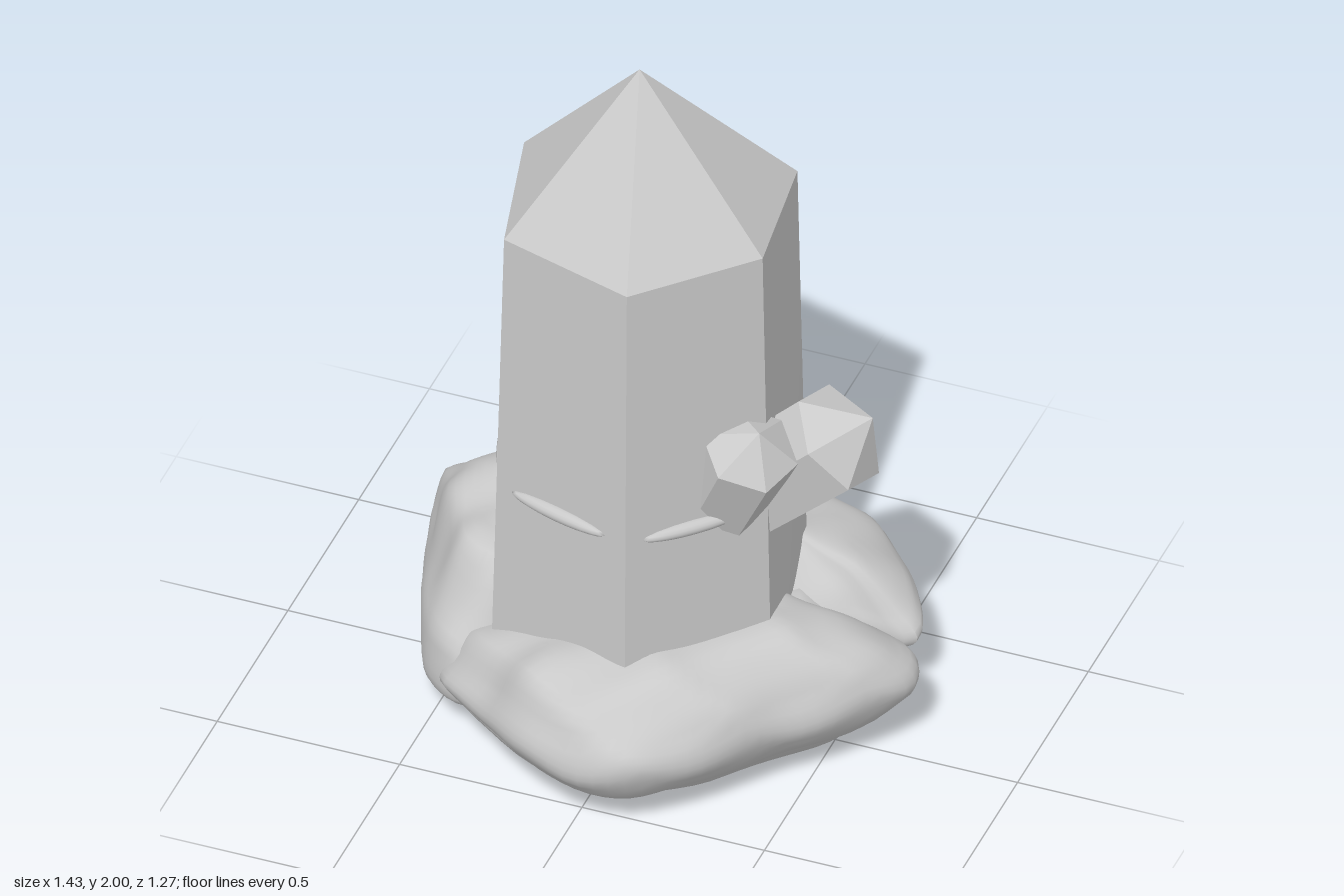
import * as THREE from 'three';
import { toCreasedNormals } from 'three/addons/utils/BufferGeometryUtils.js';

const stone = new THREE.MeshStandardMaterial({ color: 0xc9c9c9 });
stone.name = 'grey stone';

// Skin between rings of equal length, listed bottom to top, each anticlockwise from above
function loft(rings, crease) {
  const n = rings[0].length, pos = [], idx = [];
  rings.forEach(r => r.forEach(p => pos.push(p.x, p.y, p.z)));
  for (let j = 0; j < rings.length - 1; j++) {
    for (let i = 0; i < n; i++) {
      const k = (i + 1) % n, a = j * n + i, b = j * n + k, c = a + n, d = b + n;
      if (!rings[j][i].equals(rings[j][k])) idx.push(a, b, d);
      if (!rings[j + 1][i].equals(rings[j + 1][k])) idx.push(a, d, c);
    }
  }
  const g = new THREE.BufferGeometry();
  g.setAttribute('position', new THREE.Float32BufferAttribute(pos, 3));
  g.setIndex(idx);
  return toCreasedNormals(g, crease);
}

const V = (x, y, z) => new THREE.Vector3(x, y, z);
const point = (p, n) => Array.from({ length: n }, () => p.clone());

function add(parent, name, geometry) {
  const m = new THREE.Mesh(geometry, stone);
  m.name = name;
  parent.add(m);
  return m;
}

// Small hexagonal crystal pointing along an axis; centre is the middle of the shoulder ring
function shard(centre, axis, radius, length, tip, turn) {
  const dir = axis.clone().normalize();
  const side = V(0, 0, 1).cross(dir).normalize();
  const other = side.clone().cross(dir).normalize();
  const ring = (d, r) => Array.from({ length: 6 }, (_, i) => {
    const a = turn + i * Math.PI / 3;
    return centre.clone().addScaledVector(dir, d)
      .addScaledVector(side, r * Math.cos(a)).addScaledVector(other, -r * Math.sin(a));
  });
  return loft([
    point(centre.clone().addScaledVector(dir, -length), 6),
    ring(-length, radius * 0.95), ring(0, radius),
    point(centre.clone().addScaledVector(dir, tip), 6),
  ], 0.1);
}

// Uneven bumps for the rock: broad swells plus chipped ridges
const bump = (p, s) =>
  Math.sin(9 * p.x + 5 * p.z + s) * Math.sin(8 * p.y + 11 * p.z - s) * 0.5 +
  Math.sin(17 * p.x - 13 * p.y + 2 * s) * Math.sin(19 * p.z + 9 * p.x + s) * 0.3 +
  0.6 - 1.2 * Math.hypot(Math.sin(6 * p.x - 7 * p.z + 9 * p.y + s), 0.15);

// Boulder from a plan outline of [x, z], a centre and a profile of [scale, y];
// it gets lower towards the drop direction
function boulder(outline, [cx, cz], profile, seed, [dropX, dropZ] = [0, 0]) {
  const n = 72;
  const pts = new THREE.CatmullRomCurve3(outline.map(([x, z]) => V(x, 0, z)), true, 'centripetal')
    .getSpacedPoints(n).slice(0, n);
  const area = pts.reduce((s, p, i) => {
    const q = pts[(i + 1) % n];
    return s + p.x * q.z - q.x * p.z;
  }, 0);
  if (area > 0) pts.reverse();
  const rings = new THREE.CatmullRomCurve3(profile.map(([s, y]) => V(s, y, 0)), false, 'centripetal')
    .getPoints(24).map(({ x: s, y }) => pts.map(p => {
      const dx = (p.x - cx) * s, dz = (p.z - cz) * s;
      const b = bump(V(cx + dx, y, cz + dz), seed), k = 1 + b * (s < 0.95 ? 0.035 : 0.015);
      const h = y * (1 - Math.max(0, dropX * dx + dropZ * dz - 0.2));
      return V(cx + dx * k, Math.max(0, h + 0.025 * b * Math.min(1, y / 0.15)), cz + dz * k);
    }));
  const bottom = profile[0][1], top = profile[profile.length - 1][1];
  return loft([point(V(cx, bottom, cz), n), ...rings, point(V(cx, top, cz), n)], 0.8);
}

export function createModel() {
  const model = new THREE.Group();
  model.name = 'crystalOnRock';

  // Main crystal: tapering six-sided column with a pointed cap
  const low = [[-0.1, -0.427], [-0.442, -0.148], [-0.335, 0.284], [0.081, 0.41], [0.37, 0.112], [0.309, -0.305]];
  const high = [[-0.1, -0.39], [-0.405, -0.135], [-0.305, 0.265], [0.075, 0.377], [0.34, 0.1], [0.29, -0.275]];
  const ringAt = (r, y) => r.map(([x, z]) => V(x, y, z));
  add(model, 'mainCrystal', loft([
    point(V(-0.04, 0.15, -0.01), 6), ringAt(low, 0.15), ringAt(high, 1.575),
    point(V(-0.04, 2, -0.01), 6),
  ], 0.1));

  // Thin raised growth lines, one on each face of the column
  const lines = new THREE.Group();
  lines.name = 'growthLines';
  model.add(lines);
  const t = (0.79 - 0.15) / (1.575 - 0.15);
  const mid = low.map(([x, z], i) => V(x, 0.79, z).lerp(V(high[i][0], 0.79, high[i][1]), t));
  mid.forEach((a, i) => {
    const b = mid[(i + 1) % 6];
    const m = add(lines, 'growthLine', new THREE.SphereGeometry(1, 20, 8));
    m.scale.set(a.distanceTo(b) * 0.36, 0.02, 0.022);
    m.position.copy(a).lerp(b, 0.48);
    m.rotation.y = Math.atan2(-(b.z - a.z), b.x - a.x);
  });

  // Two side crystals growing out of the column
  add(model, 'largeSideCrystal', shard(V(0.5, 0.955, -0.025), V(0.74, 0.68, -0.03), 0.15, 0.34, 0.125, 0.2));
  add(model, 'smallSideCrystal', shard(V(0.33, 1.005, 0.165), V(0.45, 1, 0.28), 0.13, 0.24, 0.085, 0.3));

  // Rock base: a broad bowl-shaped underside with overlapping boulders on it
  const base = new THREE.Group();
  base.name = 'rockBase';
  model.add(base);
  add(base, 'underside', boulder(
    [[0.66, -0.03], [0.45, 0.27], [0.25, 0.47], [0.07, 0.57], [-0.14, 0.54], [-0.34, 0.42], [-0.5, 0.27],
      [-0.6, 0.05], [-0.69, -0.24], [-0.56, -0.41], [-0.35, -0.51], [0, -0.58], [0.27, -0.54], [0.48, -0.42], [0.58, -0.2]],
    [0, 0],
    [[0.6, 0], [0.76, 0.012], [0.88, 0.07], [0.96, 0.15], [0.9, 0.23], [0.6, 0.32]], 0.4));
  add(base, 'frontBoulder', boulder(
    [[0.715, -0.03], [0.6, 0.15], [0.47, 0.29], [0.29, 0.515], [0.16, 0.62], [0.04, 0.64], [-0.13, 0.59],
      [-0.32, 0.44], [-0.47, 0.3], [-0.4, 0.1], [-0.15, -0.1], [0.3, -0.15], [0.52, -0.17], [0.67, -0.13]],
    [0.08, 0.18],
    [[0.6, 0.05], [0.87, 0.12], [1, 0.23], [0.9, 0.32], [0.7, 0.395], [0.3, 0.42]], 1, [-0.9, 0]));
  add(base, 'leftBoulder', boulder(
    [[-0.36, 0.34], [-0.515, 0.275], [-0.61, 0.06], [-0.7, -0.2], [-0.715, -0.32], [-0.62, -0.4],
      [-0.4, -0.41], [-0.2, -0.4], [-0.05, -0.15], [-0.2, 0.15]],
    [-0.38, -0.1],
    [[0.6, 0.04], [0.88, 0.08], [1, 0.16], [0.93, 0.29], [0.66, 0.46], [0.25, 0.51]], 2.3, [0, 0.8]));
  add(base, 'backBoulder', boulder(
    [[-0.2, -0.5], [-0.13, -0.61], [-0.02, -0.635], [0.11, -0.635], [0.27, -0.59], [0.5, -0.46],
      [0.645, -0.21], [0.5, -0.18], [0.2, 0], [-0.15, -0.1], [-0.24, -0.36]],
    [0.16, -0.28],
    [[0.55, 0.08], [0.85, 0.17], [1, 0.25], [0.88, 0.31], [0.6, 0.385], [0.3, 0.43]], 4.1, [0.7, 0]));
  add(base, 'backLeftBoulder', boulder(
    [[-0.64, -0.38], [-0.57, -0.46], [-0.38, -0.56], [-0.17, -0.61], [-0.08, -0.56], [-0.12, -0.3], [-0.5, -0.25]],
    [-0.33, -0.4],
    [[0.45, 0.08], [0.85, 0.16], [1, 0.23], [0.86, 0.29], [0.6, 0.34], [0.25, 0.38]], 5.7));

  return model;
}
